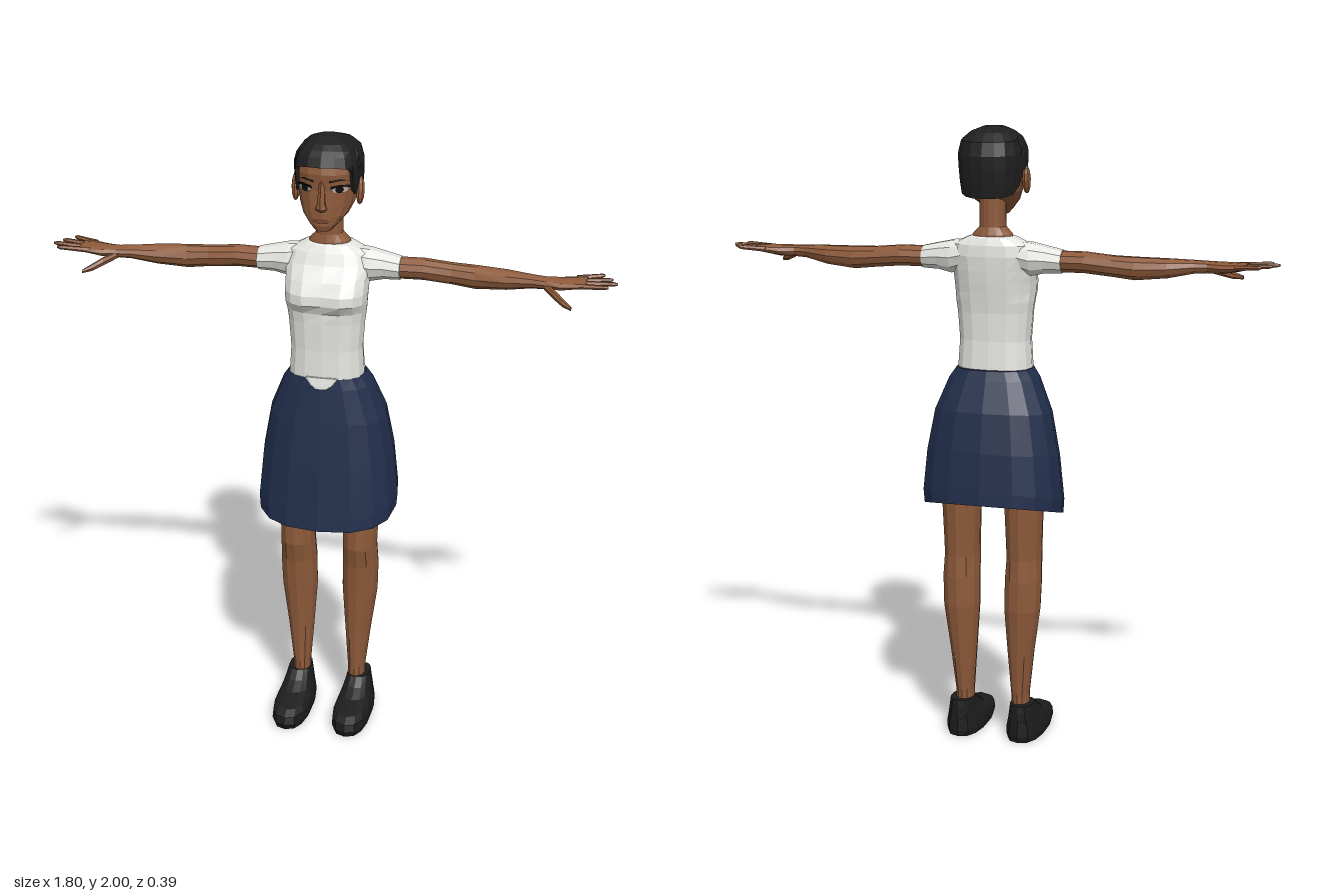
import * as THREE from 'three';

const mat = (name, color) => {
  const m = new THREE.MeshStandardMaterial({ color });
  m.name = name;
  return m;
};

const TURN = Math.PI * 2;
const angles = n => Array.from({ length: n }, (_, i) => (i / n) * TURN);
const pw = (v, p) => Math.sign(v) * Math.abs(v) ** p;

// Horizontal rounded cross-section, running from the front towards +x
function ring([y, hw, zF, zB], p = 0.85, cx = 0, list = angles(16)) {
  const c = (zF + zB) / 2, h = (zF - zB) / 2;
  return list.map(a => new THREE.Vector3(cx + hw * pw(Math.sin(a), p), y, c + h * pw(Math.cos(a), p)));
}

// Cross-section of a limb that runs along +x
function limbRing([x, y, ry, z, rz], n) {
  return angles(n).map(a => new THREE.Vector3(x, y - ry * Math.sin(a), z + rz * Math.cos(a)));
}

// Skin over a list of rings, with optional end caps and faceted normals
function loft(rings, capStart = true, capEnd = true) {
  const n = rings[0].length, pts = rings.flat(), index = [];
  for (let i = 0; i < rings.length - 1; i++) {
    for (let j = 0; j < n; j++) {
      const a = i * n + j, b = i * n + (j + 1) % n;
      index.push(a, b, b + n, a, b + n, a + n);
    }
  }
  const cap = (ringNo, flip) => {
    const centre = new THREE.Vector3();
    rings[ringNo].forEach(v => centre.addScaledVector(v, 1 / n));
    const c = pts.push(centre) - 1;
    for (let j = 0; j < n; j++) {
      const a = ringNo * n + j, b = ringNo * n + (j + 1) % n;
      index.push(c, flip ? b : a, flip ? a : b);
    }
  };
  if (capStart) cap(0, true);
  if (capEnd) cap(rings.length - 1, false);
  const g = new THREE.BufferGeometry().setFromPoints(pts);
  g.setIndex(index);
  const flat = g.toNonIndexed();
  flat.computeVertexNormals();
  return flat;
}

// Mirror across x = 0 and restore the face order
function mirror(geo) {
  const g = geo.index ? geo.toNonIndexed() : geo.clone();
  const p = g.attributes.position, v = [0, 1, 2].map(() => new THREE.Vector3());
  for (let i = 0; i < p.count; i += 3) {
    v.forEach((q, k) => q.fromBufferAttribute(p, i + k));
    [0, 2, 1].forEach((s, k) => p.setXYZ(i + k, -v[s].x, v[s].y, v[s].z));
  }
  g.computeVertexNormals();
  return g;
}

// Interpolate a table of rows by its first column
function sample(rows, y) {
  let i = 0;
  while (i < rows.length - 2 && rows[i + 1][0] < y) i++;
  const t = THREE.MathUtils.clamp((y - rows[i][0]) / (rows[i + 1][0] - rows[i][0]), 0, 1);
  return rows[i].map((v, k) => (k ? v + (rows[i + 1][k] - v) * t : y));
}

// Rows: y, half width, front z, back z
const HEAD = [
  [1.722, 0.024, 0.072, 0.03], [1.74, 0.042, 0.078, 0], [1.77, 0.07, 0.077, -0.06], [1.8, 0.084, 0.077, -0.115],
  [1.85, 0.094, 0.075, -0.14], [1.9, 0.097, 0.08, -0.148], [1.95, 0.088, 0.068, -0.138], [1.98, 0.055, 0.03, -0.09],
];
const HAIR = [
  [1.78, 0.092, 0.07, -0.145], [1.85, 0.102, 0.083, -0.157], [1.92, 0.106, 0.093, -0.162],
  [1.96, 0.096, 0.078, -0.15], [1.985, 0.068, 0.042, -0.115], [2, 0.032, 0.005, -0.06],
];

// Thin face detail laid on the curve of the head
function facePatch(points, lift) {
  const g = new THREE.ShapeGeometry(new THREE.Shape(points.map(([x, y]) => new THREE.Vector2(x, y))));
  const p = g.attributes.position;
  for (let i = 0; i < p.count; i++) {
    const [, hw, zF, zB] = sample(HEAD, p.getY(i)), e = 0.85;
    const s = Math.max(0, 1 - Math.abs(p.getX(i) / hw) ** (2 / e));
    p.setZ(i, (zF + zB) / 2 + (zF - zB) / 2 * s ** (e / 2) + lift);
  }
  g.computeVertexNormals();
  return g;
}
const oval = (cx, cy, rx, ry) => angles(10).map(a => [cx + rx * Math.cos(a), cy + ry * Math.sin(a)]);

export function createModel() {
  const skin = mat('brown skin', 0x8d5a3a), shirt = mat('white cloth', 0xe4e4e0), navy = mat('navy cloth', 0x212e4c);
  const black = mat('black hair', 0x1f1f1f), leather = mat('black leather', 0x1d1d1e);
  const eyeWhite = mat('eye white', 0xb8b0a8), dark = mat('dark eye', 0x120e0c), lip = mat('lip brown', 0x774530);
  navy.side = THREE.DoubleSide;
  const model = new THREE.Group();
  const add = (name, geo, material) => {
    const mesh = new THREE.Mesh(geo, material);
    mesh.name = name;
    model.add(mesh);
  };
  const pair = (name, geo, material) => {
    add(name + 'Left', geo, material);
    add(name + 'Right', mirror(geo), material);
  };

  // Head, neck, nose and ears
  add('head', loft(HEAD.map(r => ring(r))), skin);
  add('neck', loft([
    [1.63, 0.08, 0.012, -0.095], [1.667, 0.064, 0.008, -0.092], [1.69, 0.042, 0.004, -0.085], [1.79, 0.042, 0.005, -0.085],
  ].map(r => ring(r, 0.95))), skin);
  add('nose', loft([
    [1.785, 0.012, 0.084, 0.05], [1.795, 0.02, 0.097, 0.05], [1.81, 0.014, 0.096, 0.05], [1.88, 0.009, 0.08, 0.05],
  ].map(r => ring(r, 1, 0, angles(6)))), skin);
  const ear = new THREE.SphereGeometry(1, 8, 6).scale(0.014, 0.045, 0.021).rotateX(-0.15).translate(0.101, 1.836, -0.013).toNonIndexed();
  ear.computeVertexNormals();
  pair('ear', ear, skin);

  // Eyes, brows and mouth
  pair('eyeWhite', facePatch(oval(0.055, 1.854, 0.024, 0.009), 0.003), eyeWhite);
  pair('iris', facePatch(oval(0.054, 1.855, 0.012, 0.01), 0.005), dark);
  pair('eyelash', facePatch([[0.028, 1.859], [0.055, 1.862], [0.083, 1.858], [0.08, 1.867], [0.055, 1.871], [0.03, 1.867]], 0.006), dark);
  pair('eyebrow', facePatch([[0.024, 1.877], [0.055, 1.883], [0.084, 1.878], [0.055, 1.889], [0.024, 1.884]], 0.004), black);
  add('mouth', facePatch(oval(0, 1.756, 0.026, 0.007), 0.004), lip);

  // Cropped hair with sideburns and a low nape: degrees from the front, hairline height
  const half = [[0, 1.925], [20, 1.925], [40, 1.92], [54, 1.912], [60, 1.845], [70, 1.83], [77, 1.87],
    [94, 1.87], [104, 1.82], [122, 1.795], [142, 1.788], [162, 1.785], [180, 1.785]];
  const hairline = [...half, ...half.slice(1, -1).reverse().map(([a, y]) => [360 - a, y])];
  const hairRing = (t, inset) => hairline.map(([a, b]) => {
    const r = sample(HAIR, b + (2 - b) * t);
    return ring([r[0], r[1] * inset, r[2] * inset, r[3] * inset], 0.85, 0, [THREE.MathUtils.degToRad(a)])[0];
  });
  add('hair', loft([hairRing(0, 0.85), ...[0, 0.2, 0.4, 0.6, 0.8, 0.92, 1].map(t => hairRing(t, 1))], false), black);

  // Shirt body: the last value is the dip between the two sides of the chest
  add('shirtBody', loft([
    [1.235, 0.121, 0.081, -0.097, 0], [1.33, 0.115, 0.078, -0.09, 0], [1.42, 0.122, 0.08, -0.092, 0],
    [1.455, 0.127, 0.083, -0.096, 0.003], [1.485, 0.13, 0.105, -0.1, 0.012], [1.515, 0.132, 0.103, -0.104, 0.012],
    [1.555, 0.134, 0.078, -0.108, 0.004], [1.6, 0.138, 0.042, -0.111, 0], [1.635, 0.125, 0.026, -0.108, 0],
    [1.657, 0.082, 0.014, -0.1, 0], [1.662, 0.066, 0.008, -0.094, 0],
  ].map(r => {
    const points = ring(r, 0.8);
    points[0].z -= r[4];
    return points;
  })), shirt);
  pair('sleeve', loft([
    [0.07, 1.605, 0.045, -0.042, 0.055], [0.13, 1.592, 0.054, -0.042, 0.056], [0.175, 1.592, 0.044, -0.041, 0.048],
    [0.228, 1.587, 0.037, -0.039, 0.042],
  ].map(r => limbRing(r, 10))), shirt);

  // Skirt: share of the drop, half width, front z, back z, with the hem rising to the back
  add('skirt', loft([
    [1, 0.226, 0.135, -0.19], [0.9, 0.23, 0.13, -0.188], [0.6, 0.216, 0.115, -0.178],
    [0.3, 0.19, 0.099, -0.158], [0.07, 0.146, 0.086, -0.124], [0, 0.123, 0.082, -0.113],
  ].map(r => ring(r, 0.8).map(v => v.setY(1.24 - v.y * (0.473 + 0.277 * v.z)))), false), navy);

  // Shirt tail hanging over the front of the waistband
  add('shirtTail', loft([
    [1.208, 0.02, 0.092, 0.083], [1.218, 0.034, 0.091, 0.082], [1.245, 0.054, 0.086, 0.077],
  ].map(r => ring(r, 0.6, 0, angles(8)))), shirt);

  // Legs: y, half width, front z, back z, centre x
  pair('leg', loft([
    [0.07, 0.029, 0, -0.08, 0.096], [0.15, 0.029, 0, -0.081, 0.095], [0.3, 0.044, 0.003, -0.095, 0.098],
    [0.45, 0.06, 0.012, -0.11, 0.103], [0.55, 0.061, 0.02, -0.109, 0.105], [0.62, 0.057, 0.036, -0.105, 0.105],
    [0.68, 0.059, 0.034, -0.107, 0.105], [0.78, 0.063, 0.03, -0.111, 0.105], [1.0, 0.066, 0.05, -0.115, 0.105],
  ].map(r => ring(r, 0.95, r[4], angles(12)))), skin);

  // Shoes
  pair('shoe', loft([
    [0, 0.058, 0.188, -0.102], [0.02, 0.063, 0.197, -0.107], [0.045, 0.061, 0.19, -0.106], [0.06, 0.056, 0.16, -0.105],
    [0.078, 0.049, 0.08, -0.104], [0.1, 0.043, 0.036, -0.103], [0.125, 0.038, 0.004, -0.1],
  ].map(r => ring(r, 0.8, 0.103, angles(14)))), leather);

  // Arms and palms: x, y, vertical radius, z, depth radius
  pair('arm', loft([
    [0.19, 1.587, 0.034, -0.039, 0.037], [0.3, 1.588, 0.034, -0.042, 0.037], [0.39, 1.58, 0.034, -0.043, 0.034],
    [0.46, 1.575, 0.037, -0.04, 0.036], [0.56, 1.578, 0.031, -0.028, 0.036], [0.64, 1.584, 0.021, -0.012, 0.027],
    [0.68, 1.584, 0.019, -0.007, 0.028], [0.73, 1.584, 0.018, -0.01, 0.042], [0.78, 1.589, 0.013, -0.016, 0.05],
    [0.805, 1.592, 0.009, -0.017, 0.047],
  ].map(r => limbRing(r, 10))), skin);

  // Fingers: base z, tip x, tip z
  [[-0.054, 0.855, -0.078], [-0.03, 0.882, -0.04], [-0.005, 0.9, -0.003], [0.021, 0.875, 0.036]].forEach(([z, tx, tz], i) => {
    const rows = [[0, 0.011], [0.55, 0.009], [0.9, 0.008], [1, 0.004]].map(([t, r]) =>
      [0.77 + (tx - 0.77) * t, 1.59 + 0.007 * t, r * 0.85, z + (tz - z) * t, r]);
    pair('finger' + (i + 1), loft(rows.map(r => limbRing(r, 6))), skin);
  });
  pair('thumb', loft([
    [0.68, 1.578, 0.012, 0.005, 0.016], [0.715, 1.565, 0.014, 0.042, 0.02], [0.745, 1.551, 0.012, 0.072, 0.016],
    [0.772, 1.542, 0.006, 0.094, 0.007],
  ].map(r => limbRing(r, 7))), skin);

  return model;
}
